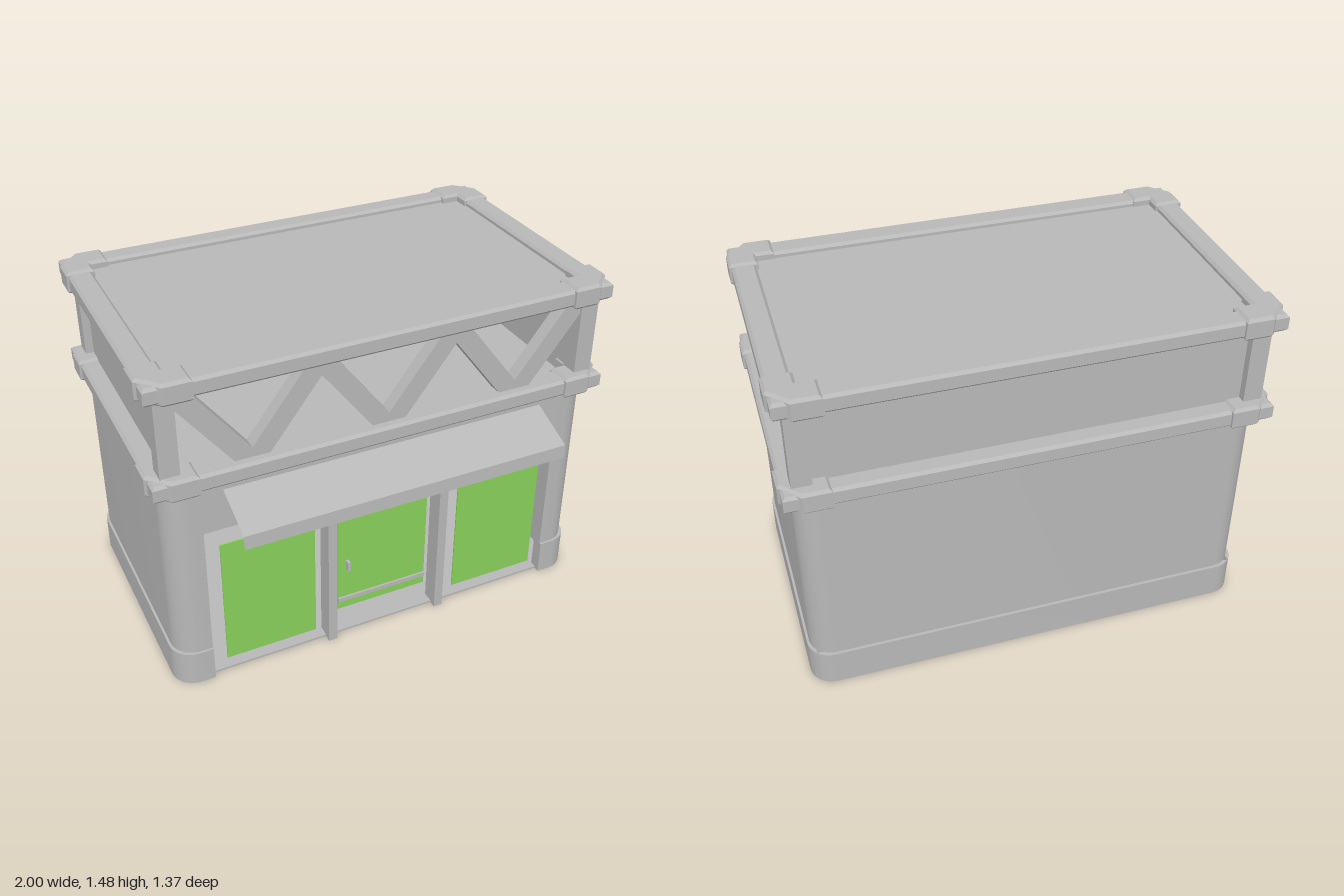
import * as THREE from 'three';
import { toCreasedNormals } from 'three/addons/utils/BufferGeometryUtils.js';

const FRONT = 0.475, BACK = -0.635;

export function createModel() {
  const model = new THREE.Group();
  const mat = (name, color, side = THREE.FrontSide) => {
    const m = new THREE.MeshStandardMaterial({ color, side });
    m.name = name;
    return m;
  };
  const gray = mat('wallGray', 0xb8b8b8);
  const sheetGray = gray.clone();
  sheetGray.name = 'awningGray';
  sheetGray.side = THREE.DoubleSide;
  const green = mat('glassGreen', 0x8ad05c, THREE.DoubleSide);
  const dark = mat('hatchDark', 0x666666);

  const add = (name, geometry, material = gray) => {
    const mesh = new THREE.Mesh(geometry, material);
    mesh.name = name;
    model.add(mesh);
    return mesh;
  };
  // Box given by its limits on each axis
  const box = (name, x0, x1, y0, y1, z0, z1, material) => {
    const mesh = add(name, new THREE.BoxGeometry(x1 - x0, y1 - y0, z1 - z0), material);
    mesh.position.set((x0 + x1) / 2, (y0 + y1) / 2, (z0 + z1) / 2);
    return mesh;
  };
  // Raise a floor-plan shape (drawn with y = -z) from y0 to y1
  const raise = (shape, y0, y1, bevel = 0) => {
    const g = new THREE.ExtrudeGeometry(shape, {
      depth: y1 - y0 - 2 * bevel, curveSegments: 8, bevelEnabled: bevel > 0,
      bevelSize: bevel, bevelThickness: bevel, bevelOffset: -bevel, bevelSegments: 1,
    });
    g.rotateX(-Math.PI / 2).translate(0, y0 + bevel, 0);
    return toCreasedNormals(g, 0.5);
  };
  const plan = (points) => new THREE.Shape(points.map(([x, z]) => new THREE.Vector2(x, -z)));

  // Hollow wall plan with rounded corners and a front opening of half width gap
  const wallPlan = (hx, front, back, t, gap, r = 0.1) => {
    const f = -front, b = -back, s = new THREE.Shape();
    s.moveTo(gap, f);
    s.lineTo(hx - r, f);
    s.absarc(hx - r, f + r, r, -Math.PI / 2, 0);
    s.lineTo(hx, b - r);
    s.absarc(hx - r, b - r, r, 0, Math.PI / 2);
    s.lineTo(-hx + r, b);
    s.absarc(-hx + r, b - r, r, Math.PI / 2, Math.PI);
    s.lineTo(-hx, f + r);
    s.absarc(-hx + r, f + r, r, Math.PI, Math.PI * 1.5);
    s.lineTo(-gap, f);
    s.lineTo(-gap, f + t);
    s.lineTo(-hx + t + 0.02, f + t);
    s.lineTo(-hx + t, f + t + 0.02);
    s.lineTo(-hx + t, b - t);
    s.lineTo(hx - t, b - t);
    s.lineTo(hx - t, f + t + 0.02);
    s.lineTo(hx - t - 0.02, f + t);
    s.lineTo(gap, f + t);
    return s;
  };

  // Ground floor: walls, lintel, plinth, floor and ceiling
  add('groundWalls', raise(wallPlan(0.95, FRONT, BACK, 0.045, 0.8), 0, 0.98));
  box('lintel', -0.8, 0.8, 0.755, 0.98, FRONT - 0.045, FRONT);
  add('plinth', raise(wallPlan(0.96, FRONT + 0.01, BACK - 0.013, 0.03, 0.8), 0, 0.16));
  box('groundFloor', -0.93, 0.93, 0, 0.01, -0.62, 0.46);
  box('floorHatch', -0.93, -0.5, -0.002, 0.002, 0.17, 0.45, dark);
  box('upperFloor', -0.92, 0.92, 0.965, 1.0, -0.61, 0.45);

  // Shop windows and door
  for (const s of [-1, 1]) {
    const [a, b] = s < 0 ? [-0.74, -0.335] : [0.335, 0.74];
    box('window', a, b, 0.08, 0.68, 0.472, 0.478, green);
    const [c, d] = s < 0 ? [-0.28, -0.24] : [0.24, 0.28];
    box('doorPost', c, d, 0, 0.755, 0.41, 0.492);
  }
  box('doorHeader', -0.24, 0.24, 0.72, 0.755, 0.41, 0.485);
  box('doorGlass', -0.215, 0.205, 0.12, 0.68, 0.437, 0.443, green);
  box('doorRail', -0.215, 0.205, 0.163, 0.183, 0.435, 0.452);
  box('doorHandle', -0.178, -0.165, 0.335, 0.38, 0.443, 0.465);

  // Awning: a bent sheet with a vertical lip
  const section = [[0.94, FRONT], [0.86, 0.682], [0.8, 0.685]];
  for (let i = 0; i < 2; i++) {
    const [y0, z0] = section[i], [y1, z1] = section[i + 1];
    const g = new THREE.PlaneGeometry(1.42, Math.hypot(y1 - y0, z1 - z0));
    const sheet = add(i ? 'awningLip' : 'awningSlope', g, sheetGray);
    sheet.position.set(0, (y0 + y1) / 2, (z0 + z1) / 2);
    sheet.rotation.x = -Math.atan2(z1 - z0, y0 - y1);
  }

  // Two beam rings with chunky chamfered corner blocks
  const cz = -0.085;
  for (const y of [0.962, 1.38]) {
    const ring = plan([[-0.99, 0.505], [0.99, 0.505], [0.99, -0.675], [-0.99, -0.675]]);
    ring.holes.push(new THREE.Path([[-0.89, 0.4], [-0.89, -0.58], [0.89, -0.58], [0.89, 0.4]]
      .map(([x, z]) => new THREE.Vector2(x, -z))));
    add('beamRing', raise(ring, y + 0.01, y + 0.085, 0.012));
    for (const sx of [-1, 1]) for (const sz of [-1, 1]) {
      const pts = [[0.805, 0.6], [0.92, 0.6], [1, 0.515], [1, 0.41], [0.88, 0.41], [0.88, 0.48], [0.805, 0.48]]
        .map(([x, z]) => [sx * x, cz + sz * z]);
      if (sx * sz < 0) pts.reverse();
      add('cornerBlock', raise(plan(pts), y, y + 0.095, 0.012));
    }
  }

  // Upper storey: posts, closed sides and back, open front
  for (const sx of [-1, 1]) {
    for (const [z0, z1] of [[0.4, FRONT], [BACK, -0.56]]) {
      const x0 = sx < 0 ? -0.95 : 0.87;
      const post = plan([[x0, z1], [x0 + 0.08, z1], [x0 + 0.08, z0], [x0, z0]]);
      add('cornerPost', raise(post, 1.0, 1.42));
    }
    const x = sx * 0.9;
    box('upperSidePanel', x - 0.015, x + 0.015, 0.99, 1.42, -0.6, 0.42);
  }
  box('upperBackPanel', -0.9, 0.9, 0.99, 1.42, -0.6, -0.57);
  box('roof', -0.9, 0.9, 1.41, 1.44, -0.6, 0.42);

  // Zigzag truss across the open front
  for (let i = 0; i < 6; i++) {
    const up = i % 2 === 1;
    const angle = Math.atan2(0.38, 0.29) * (up ? 1 : -1);
    const bar = add('trussBar', new THREE.BoxGeometry(0.47, 0.083, 0.06));
    bar.position.set(-0.725 + i * 0.29, 1.21, 0.435);
    bar.rotation.z = angle;
  }
  return model;
}
